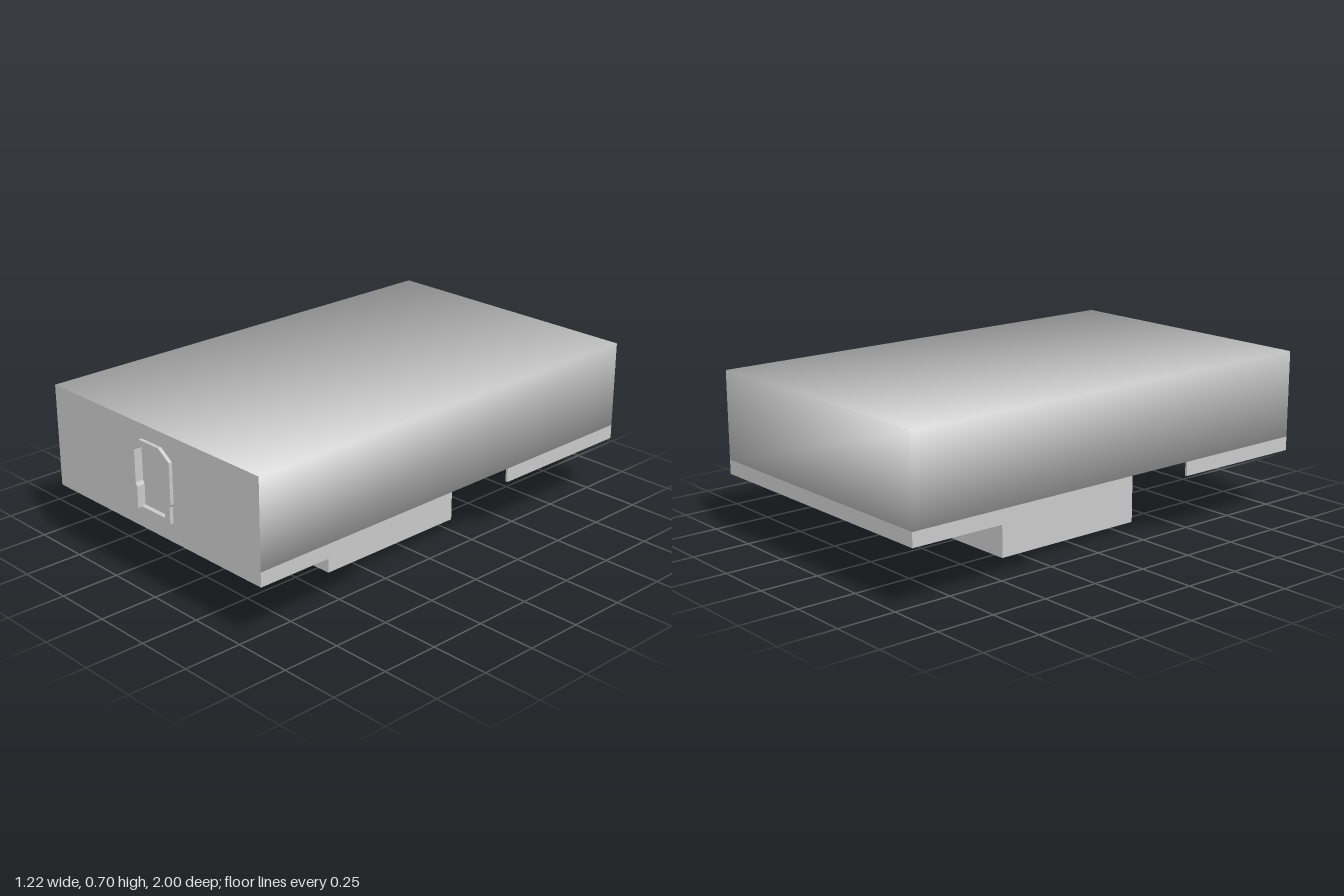
import * as THREE from 'three';

const W = 1.22, FLOOR = 0.33, TOP = 0.70, RIM = 0.27, BACK = -1, FRONT = 0.985;
const DOOR_X = 0.004, RECESS = 0.02, T = 0.01;

export function createModel() {
  const model = new THREE.Group();
  const grey = new THREE.MeshStandardMaterial({ color: 0xcccccc });
  const inside = new THREE.MeshStandardMaterial({ color: 0xcccccc, side: THREE.BackSide });

  const add = (name, geometry, material = grey) => {
    const mesh = new THREE.Mesh(geometry, material);
    mesh.name = name;
    model.add(mesh);
    return mesh;
  };
  // box given by its limits on each axis
  const block = (name, x0, x1, y0, y1, z0, z1) =>
    add(name, new THREE.BoxGeometry(x1 - x0, y1 - y0, z1 - z0))
      .position.set((x0 + x1) / 2, (y0 + y1) / 2, (z0 + z1) / 2);
  const points = (list) => list.map(([x, y]) => new THREE.Vector2(x, y));
  // closed outline mirrored about the doorway's centre line
  const mirrored = (half) => points([
    ...half.map(([x, y]) => [DOOR_X + x, y]),
    ...half.slice().reverse().map(([x, y]) => [DOOR_X - x, y]),
  ]);

  // Body: softly shaded shell with a flat underside, open at the front
  const body = new THREE.BoxGeometry(W, TOP - FLOOR, FRONT - BACK);
  const p = body.attributes.position, n = body.attributes.normal;
  const v = new THREE.Vector3();
  for (let i = 0; i < p.count; i++) {
    if (n.getY(i) < -0.5) continue;
    v.set(Math.sign(p.getX(i)), Math.sign(p.getY(i)), Math.sign(p.getZ(i))).normalize();
    n.setXYZ(i, v.x, v.y, v.z);
  }
  const index = Array.from(body.index.array);
  index.splice(24, 6); // front side
  body.setIndex(index);
  body.clearGroups();
  add('body', body).position.set(0, (TOP + FLOOR) / 2, (FRONT + BACK) / 2);

  // Flat front wall with the doorway opening
  const opening = mirrored([[0.083, 0.355], [0.083, 0.44], [0.091, 0.455], [0.091, 0.59], [0.046, 0.615]]);
  const wall = new THREE.Shape(points([[-W / 2, FLOOR], [W / 2, FLOOR], [W / 2, TOP], [-W / 2, TOP]]));
  wall.holes.push(new THREE.Path(opening));
  add('frontWall', new THREE.ShapeGeometry(wall)).position.z = FRONT;

  // Shallow doorway niche, seen from its inside
  add('doorway', new THREE.ExtrudeGeometry(new THREE.Shape(opening), { depth: RECESS, bevelEnabled: false }), inside)
    .position.z = FRONT - RECESS;

  // Raised arch around the doorway
  const arch = mirrored([[0.113, 0.35], [0.113, 0.42], [0.119, 0.43], [0.119, 0.6], [0.059, 0.64]]);
  const inner = mirrored([[0.083, 0.35], [0.083, 0.44], [0.091, 0.455], [0.091, 0.59], [0.046, 0.615]]);
  add('doorFrame', new THREE.ExtrudeGeometry(new THREE.Shape([...arch, ...inner.reverse()]),
    { depth: 1 - FRONT, bevelEnabled: false })).position.z = FRONT;

  // Thin rim below the body, with a gap in the middle of each long side
  block('frontRim', -W / 2, W / 2, RIM, FLOOR, FRONT - T, FRONT);
  block('backRim', -W / 2, W / 2, RIM, FLOOR, BACK, BACK + T);
  for (const [side, x] of [['left', W / 2 - T], ['right', -W / 2]]) {
    block(side + 'FrontSideRim', x, x + T, RIM, FLOOR, 0.38, FRONT - T);
    block(side + 'BackSideRim', x, x + T, RIM, FLOOR, BACK + T, -0.33);
  }

  // Pedestal
  block('pedestal', -0.3, 0.31, 0, FLOOR, -0.33, 0.38);
  return model;
}
